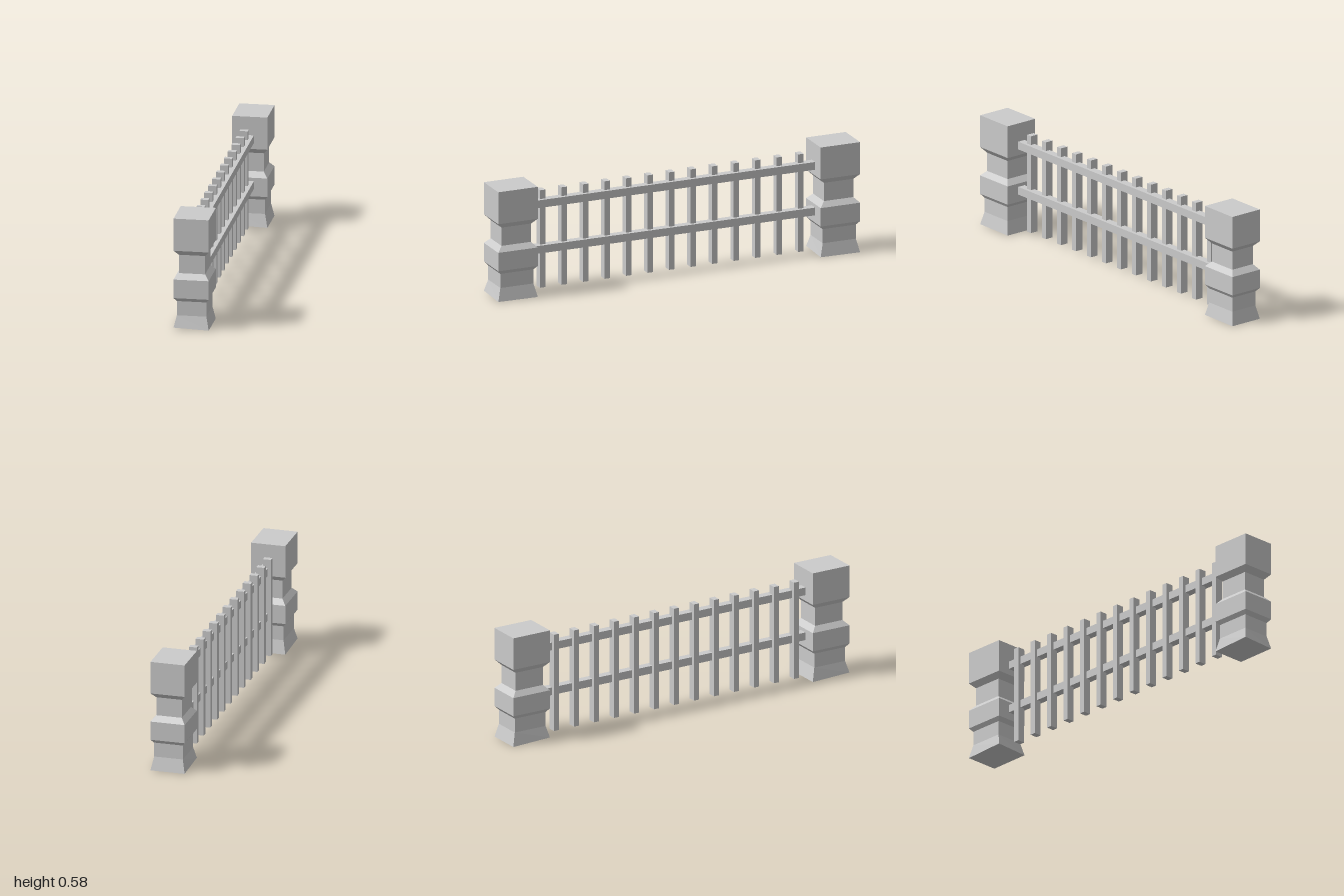
import * as THREE from 'three';

const material = new THREE.MeshStandardMaterial({ color: 0xcccccc, flatShading: true });

const HALF_X = 0.09, HALF_Z = 0.109;

// Square turned post: a four-sided lathe, stretched along z
function postGeometry() {
  const profile = [
    [0, 0], [1, 0], [0.84, 0.07], [0.84, 0.145], [1, 0.165], [1, 0.263],
    [0.745, 0.29], [0.745, 0.387], [1, 0.415], [1, 0.585], [0, 0.585],
  ].map(([r, y]) => new THREE.Vector2(r * Math.SQRT2, y));
  const geometry = new THREE.LatheGeometry(profile, 4, Math.PI / 4).scale(HALF_X, 1, HALF_Z);

  // The foot is cut slightly off level, rising towards the front
  const p = geometry.attributes.position;
  for (let i = 0; i < p.count; i++) {
    if (p.getY(i) > 0.001) continue;
    const t = (p.getZ(i) / HALF_Z + 1) / 2;
    p.setY(i, t * (0.0055 - 0.039 * p.getX(i)));
  }
  const flat = geometry.toNonIndexed();
  flat.computeVertexNormals();
  return flat;
}

function addMesh(group, name, geometry, x, y, z) {
  const mesh = new THREE.Mesh(geometry, material);
  mesh.name = name;
  mesh.position.set(x, y, z);
  group.add(mesh);
}

export function createModel() {
  const fence = new THREE.Group();
  fence.name = 'fence';

  // End posts
  const post = postGeometry();
  addMesh(fence, 'frontPost', post, 0, 0, 1 - HALF_Z);
  addMesh(fence, 'backPost', post, 0, 0, HALF_Z - 1);

  // Rails between the posts
  const rail = new THREE.BoxGeometry(0.042, 0.041, 1.564);
  addMesh(fence, 'lowerRail', rail, 0, 0.225, 0);
  addMesh(fence, 'upperRail', rail, 0, 0.467, 0);

  // Pickets, set into the right-hand side of the rails
  const pickets = new THREE.Group();
  pickets.name = 'pickets';
  const picket = new THREE.BoxGeometry(0.042, 0.518, 0.03);
  for (let i = -6; i <= 6; i++) {
    addMesh(pickets, 'picket', picket, -0.017, 0.275, 0.003 + i * 0.119);
  }
  fence.add(pickets);
  return fence;
}
